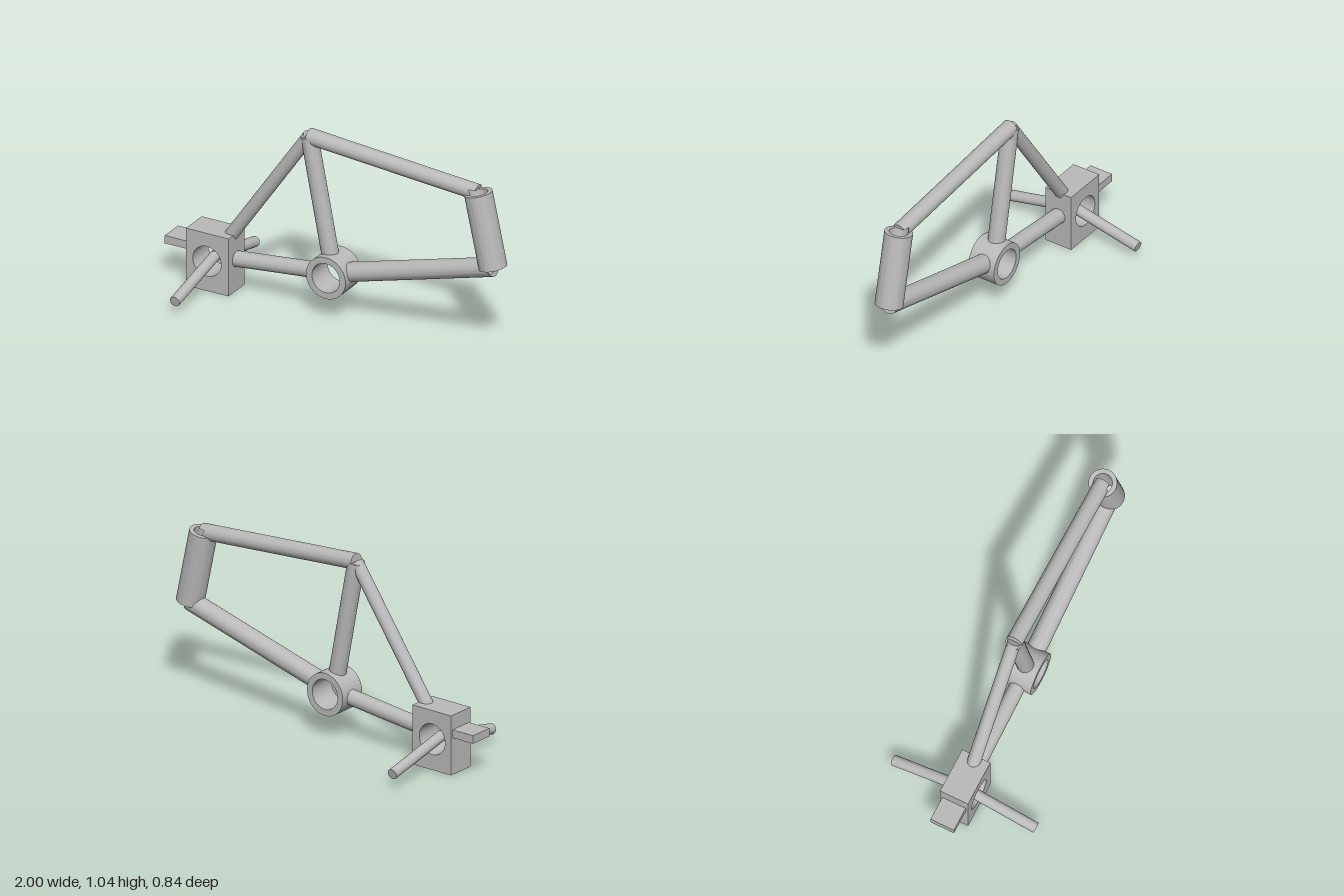
import * as THREE from 'three';
import { toCreasedNormals } from 'three/addons/utils/BufferGeometryUtils.js';

const V = (x, y, z = 0) => new THREE.Vector3(x, y, z);
const UP = V(0, 1, 0);

// Key frame points
const dropout = V(-0.74, 0.17);
const crank = V(-0.03, 0.245);
const seatTop = V(-0.174, 0.995);
const headTop = V(0.836, 0.916);
const headBottom = V(0.924, 0.51);
const headBore = 0.05;

export function createModel() {
  const group = new THREE.Group();
  const steel = new THREE.MeshStandardMaterial({ color: 0xbababa });
  steel.name = 'steel grey';

  function add(name, geometry) {
    const mesh = new THREE.Mesh(toCreasedNormals(geometry, 0.6), steel);
    mesh.name = name;
    group.add(mesh);
    return mesh;
  }

  // Solid round tube from a to b; adjust(point, direction) may reshape the far end
  function tube(name, a, b, r, adjust) {
    const d = b.clone().sub(a);
    const len = d.length();
    d.normalize();
    const profile = [V(0, 0), V(r, 0)];
    for (let i = 8; i >= 0; i--) profile.push(V((r * i) / 8, len));
    const geo = new THREE.LatheGeometry(profile, 40);
    const pos = geo.attributes.position;
    const turn = new THREE.Quaternion().setFromUnitVectors(UP, d);
    const p = V(0, 0);
    for (let i = 0; i < pos.count; i++) {
      p.fromBufferAttribute(pos, i);
      const atEnd = p.y > len - 1e-5;
      p.applyQuaternion(turn).add(a);
      if (atEnd && adjust) adjust(p, d);
      pos.setXYZ(i, p.x, p.y, p.z);
    }
    return add(name, geo);
  }

  // Plate or ring extruded along z, centred on z = 0
  function extruded(name, shape, holeRadius, depth) {
    const hole = new THREE.Path();
    hole.absarc(0, 0, holeRadius, 0, Math.PI * 2, true);
    shape.holes.push(hole);
    const geo = new THREE.ExtrudeGeometry(shape, { depth, bevelEnabled: false, curveSegments: 48 });
    geo.translate(0, 0, -depth / 2);
    return add(name, geo);
  }

  function ring(name, outer, inner, depth) {
    const shape = new THREE.Shape();
    shape.absarc(0, 0, outer, 0, Math.PI * 2, false);
    return extruded(name, shape, inner, depth);
  }

  // Point a certain distance from a on the way to b
  const toward = (a, b, dist) => b.clone().sub(a).setLength(dist).add(a);

  // Head tube
  const headAxis = headTop.clone().sub(headBottom);
  const headLength = headAxis.length();
  headAxis.normalize();
  const head = ring('headTube', 0.075, headBore, headLength);
  head.position.copy(headTop).add(headBottom).multiplyScalar(0.5);
  head.quaternion.setFromUnitVectors(V(0, 0, 1), headAxis);

  // Notch tube ends where they would block the head tube bore
  const across = V(headAxis.y, -headAxis.x);
  function notch(p, d) {
    const rel = p.clone().sub(headBottom);
    const h = rel.dot(headAxis);
    if (h < -0.02 || h > headLength + 0.02 || Math.abs(p.z) >= headBore) return;
    const t = (rel.dot(across) + Math.sqrt(headBore ** 2 - p.z ** 2)) / d.dot(across);
    if (t > 0) p.addScaledVector(d, -t);
  }

  // Crank shell
  ring('crankShell', 0.118, 0.083, 0.16).position.copy(crank);

  // Main frame tubes
  tube('topTube', seatTop, headTop, 0.044, notch);
  tube('downTube', toward(crank, headBottom, 0.1), headBottom, 0.052, notch);
  tube('seatTube', toward(crank, seatTop, 0.1), seatTop, 0.046);
  tube('seatStay', toward(dropout, seatTop, 0.1), seatTop, 0.036);
  tube('chainStay', toward(dropout, crank, 0.1), toward(crank, dropout, 0.1), 0.043);

  // Rear block with a round through hole
  const block = new THREE.Shape([V(-0.125, -0.17), V(0.13, -0.17), V(0.13, 0.16), V(-0.125, 0.16)]);
  extruded('rearBlock', block, 0.085, 0.162).position.copy(dropout);

  // Tab behind the block
  add('rearTab', new THREE.BoxGeometry(0.14, 0.045, 0.136)).position.set(-0.93, 0.227, 0);

  // Drooping side pegs meeting inside the hole
  for (const s of [1, -1]) {
    tube(s > 0 ? 'frontPeg' : 'backPeg', V(-0.74, 0.168), V(-0.74, 0.077, s * 0.412), 0.029);
  }

  return group;
}
